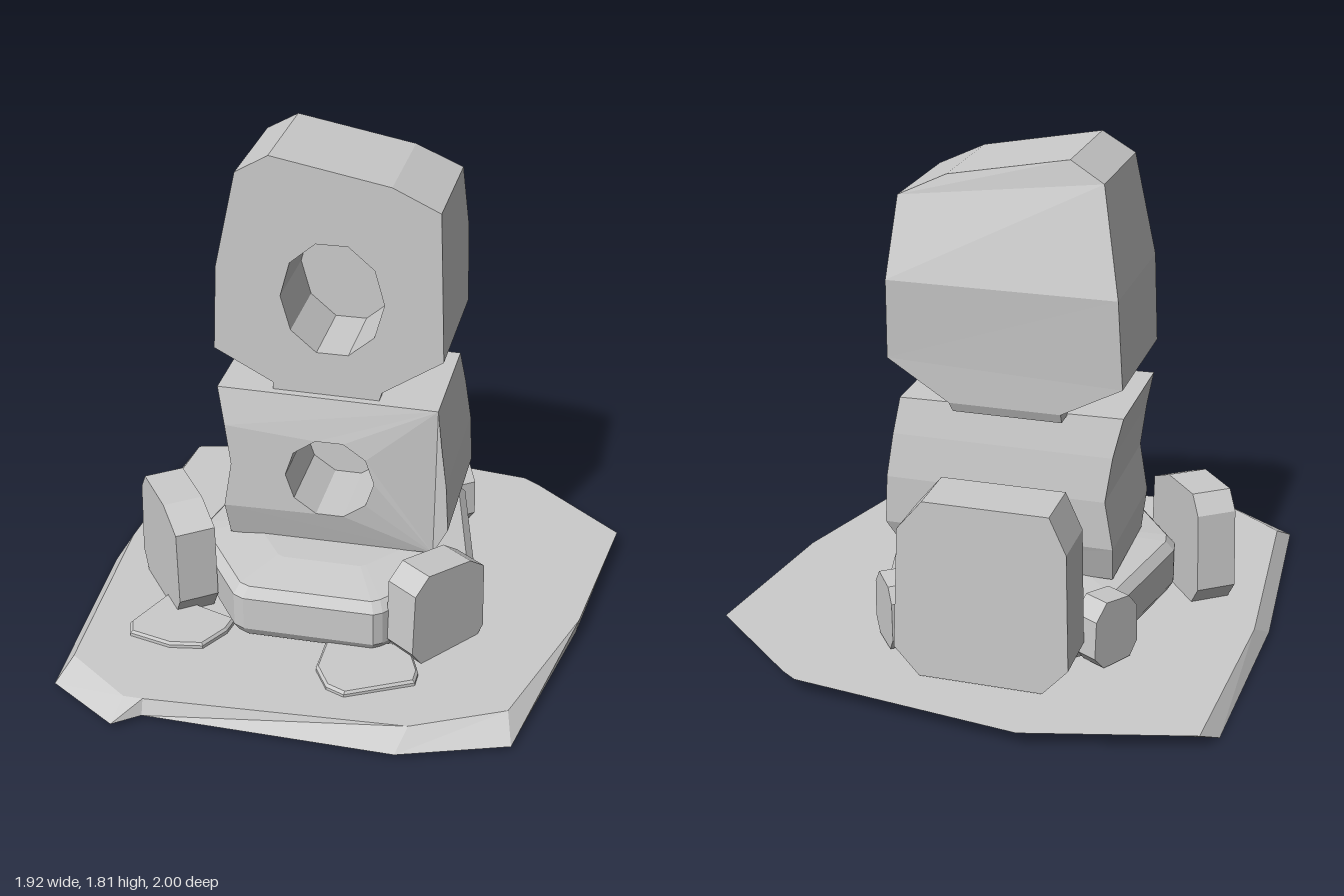
import * as THREE from 'three';

const grey = new THREE.MeshStandardMaterial({ color: 0xcccccc, flatShading: true });
const inside = new THREE.MeshStandardMaterial({ color: 0xcccccc, flatShading: true, side: THREE.BackSide });

function mesh(name, geometry, material = grey) {
  const m = new THREE.Mesh(geometry, material);
  m.name = name;
  return m;
}

// Solid through stacked rings of [x, y, z], counter-clockwise from above; side "open" is left out
function loft(rings, open = -1) {
  const pos = [];
  const tri = (...p) => p.forEach((v) => pos.push(...v));
  const n = rings[0].length;
  for (let r = 0; r < rings.length - 1; r++) {
    for (let i = 0; i < n; i++) {
      if (i === open) continue;
      const j = (i + 1) % n, lo = rings[r], hi = rings[r + 1];
      tri(lo[i], lo[j], hi[j]);
      tri(lo[i], hi[j], hi[i]);
    }
  }
  const cap = (ring, up) => {
    const flat = ring.map(([x, , z]) => new THREE.Vector2(x, -z));
    for (const [a, b, c] of THREE.ShapeUtils.triangulateShape(flat, [])) {
      if (up) tri(ring[a], ring[b], ring[c]);
      else tri(ring[a], ring[c], ring[b]);
    }
  };
  cap(rings[0], false);
  cap(rings[rings.length - 1], true);
  const g = new THREE.BufferGeometry();
  g.setAttribute('position', new THREE.Float32BufferAttribute(pos, 3));
  g.computeVertexNormals();
  return g;
}

// Flat slab whose outline [x, z] (clockwise from above) is repeated at [y, scale] levels
function plate(outline, levels, cx, cz) {
  const pts = [...outline].reverse();
  return loft(levels.map(([y, s]) => pts.map(([x, z]) => [cx + (x - cx) * s, y, cz + (z - cz) * s])));
}

// Rough block with a round blind hole in front; rows are [leftX, leftY, rightX, rightY, frontZ, backZ]
function hollowBlock(name, rows, hole) {
  const group = new THREE.Group();
  group.name = name;
  const rings = rows.map(([lx, ly, rx, ry, f, b]) => [[lx, ly, f], [rx, ry, f], [rx, ry, b], [lx, ly, b]]);
  group.add(mesh(name + 'Shell', loft(rings, 0)));

  // Front face, bent to follow the rows
  const outline = [...rows.map((r) => [r[2], r[3]]), ...[...rows].reverse().map((r) => [r[0], r[1]])];
  const shape = new THREE.Shape(outline.map(([x, y]) => new THREE.Vector2(x, y)));
  const rim = [];
  for (let i = 0; i < 10; i++) {
    const a = (i / 10) * Math.PI * 2;
    rim.push(new THREE.Vector2(hole.x + Math.cos(a) * hole.rx, hole.y + Math.sin(a) * hole.ry));
  }
  shape.holes.push(new THREE.Path(rim));
  const face = new THREE.ShapeGeometry(shape);
  const p = face.attributes.position;
  for (let i = 0; i < p.count; i++) {
    const k = p.getX(i) < 0 ? 1 : 3, y = p.getY(i);
    let z = y <= rows[0][k] ? rows[0][4] : rows[rows.length - 1][4];
    for (let r = 0; r < rows.length - 1; r++) {
      const a = rows[r], b = rows[r + 1];
      if (y >= a[k] && y <= b[k]) z = THREE.MathUtils.mapLinear(y, a[k], b[k], a[4], b[4]);
    }
    p.setZ(i, z);
  }
  group.add(mesh(name + 'Front', face));

  // Hole wall and floor
  const wall = new THREE.CylinderGeometry(1, 1, hole.depth, 10, 1, true, Math.PI / 2);
  wall.rotateX(Math.PI / 2).scale(hole.rx, hole.ry, 1).translate(hole.x, hole.y, hole.z - hole.depth / 2);
  group.add(mesh(name + 'HoleWall', wall, inside));
  const floor = new THREE.CircleGeometry(1, 10);
  floor.scale(hole.rx, hole.ry, 1).translate(hole.x, hole.y, hole.z - hole.depth);
  group.add(mesh(name + 'HoleFloor', floor));
  return group;
}

// Upright stone: chipped outline [u, y] with a thickness, turned about y
function stone(name, outline, thickness, x, z, turn) {
  const shape = new THREE.Shape(outline.map(([u, y]) => new THREE.Vector2(u, y)));
  const g = new THREE.ExtrudeGeometry(shape, { depth: thickness, bevelEnabled: false });
  g.translate(0, 0, -thickness / 2);
  const m = mesh(name, g);
  m.position.set(x, 0, z);
  m.rotation.y = turn;
  return m;
}

export function createModel() {
  const model = new THREE.Group();
  model.name = 'stoneStack';

  // Ground slab, undercut at the back and bevelled at the front
  const slabTop = [[-0.29, -1], [0.54, -0.89], [0.6, -0.85], [0.96, -0.54], [0.88, 0.1], [0.7, 0.7],
    [0.38, 0.86], [-0.55, 0.91], [-0.62, 0.91], [-0.87, 0.72], [-0.92, -0.1], [-0.87, -0.85]];
  const slabBottom = [[-0.29, -0.88], [0.5, -0.8], [0.55, -0.76], [0.9, -0.5], [0.87, 0.1], [0.73, 0.82],
    [0.35, 0.95], [-0.55, 0.93], [-0.64, 1], [-0.91, 0.82], [-0.96, 0], [-0.92, -0.75]];
  const tilted = (pts, y) => pts.map(([x, z]) => [x, y + 0.01 * z, z]).reverse();
  model.add(mesh('groundSlab', loft([tilted(slabBottom, 0.009), tilted(slabTop, 0.067)])));

  // Thin paving stones
  const pavingLeft = [[-0.36, 0.4], [-0.37, 0.47], [-0.43, 0.58], [-0.55, 0.6], [-0.71, 0.56], [-0.73, 0.5], [-0.65, 0.3]];
  const pavingRight = [[0.3, 0.42], [0.36, 0.57], [0.36, 0.63], [0.13, 0.75], [0.06, 0.72], [0, 0.62], [0, 0.45]];
  model.add(mesh('pavingStoneRight', plate(pavingLeft, [[0.06, 1], [0.085, 1], [0.095, 0.95]], -0.54, 0.46)));
  model.add(mesh('pavingStoneLeft', plate(pavingRight, [[0.06, 1], [0.085, 1], [0.095, 0.95]], 0.18, 0.58)));

  // Low faceted plinth
  const plinth = [[-0.36, -0.55], [0.22, -0.55], [0.36, -0.42], [0.48, 0.1], [0.46, 0.16], [0.21, 0.47],
    [0.18, 0.49], [-0.3, 0.49], [-0.34, 0.47], [-0.57, 0.14], [-0.58, 0.08], [-0.48, -0.42]];
  model.add(mesh('plinth', plate(plinth, [[0.085, 0.96], [0.12, 1], [0.25, 1], [0.285, 0.94], [0.31, 0.6]], -0.05, -0.03)));

  // Two stacked hollow blocks
  model.add(hollowBlock('lowerBlock', [
    [-0.44, 0.3, 0.33, 0.31, 0.14, -0.31],
    [-0.45, 0.44, 0.39, 0.44, 0.18, -0.36],
    [-0.42, 0.62, 0.38, 0.62, 0.18, -0.365],
    [-0.44, 0.78, 0.36, 0.78, 0.18, -0.345],
    [-0.47, 0.92, 0.34, 0.91, 0.15, -0.32],
  ], { x: -0.05, y: 0.6, z: 0.18, rx: 0.165, ry: 0.16, depth: 0.32 }));
  model.add(hollowBlock('upperBlock', [
    [-0.27, 0.91, 0.12, 0.91, 0.12, -0.39],
    [-0.27, 0.945, 0.13, 0.945, 0.12, -0.405],
    [-0.485, 1.06, 0.35, 1.09, 0.12, -0.41],
    [-0.47, 1.38, 0.34, 1.38, 0.12, -0.435],
    [-0.39, 1.74, 0.33, 1.65, 0.12, -0.325],
    [-0.27, 1.81, 0.16, 1.73, 0.12, -0.31],
  ], { x: -0.05, y: 1.29, z: 0.12, rx: 0.187, ry: 0.22, depth: 0.31 }));

  // Upright stones around the plinth
  model.add(stone('frontStoneRight', [[-0.16, 0.07], [-0.21, 0.14], [-0.19, 0.43], [-0.14, 0.5],
    [0.07, 0.49], [0.2, 0.43], [0.21, 0.15], [0.16, 0.07]], 0.15, -0.625, 0.21, -0.935));
  model.add(stone('frontStoneLeft', [[-0.13, 0.07], [-0.175, 0.13], [-0.165, 0.37], [-0.1, 0.43],
    [0.1, 0.41], [0.17, 0.36], [0.175, 0.1], [0.15, 0.07]], 0.14, 0.38, 0.35, 0.93));
  model.add(stone('backStone', [[-0.22, 0.07], [-0.31, 0.17], [-0.3, 0.6], [-0.24, 0.73],
    [0.2, 0.73], [0.29, 0.62], [0.31, 0.17], [0.22, 0.07]], 0.21, -0.09, -0.655, 0));
  const small = [[-0.06, 0.07], [-0.105, 0.12], [-0.1, 0.26], [-0.05, 0.32],
    [0.06, 0.31], [0.1, 0.26], [0.105, 0.12], [0.07, 0.07]];
  model.add(stone('smallStoneRight', small, 0.1, -0.455, -0.455, -2.1));
  model.add(stone('smallStoneLeft', small, 0.1, 0.29, -0.53, 2.21));
  return model;
}
